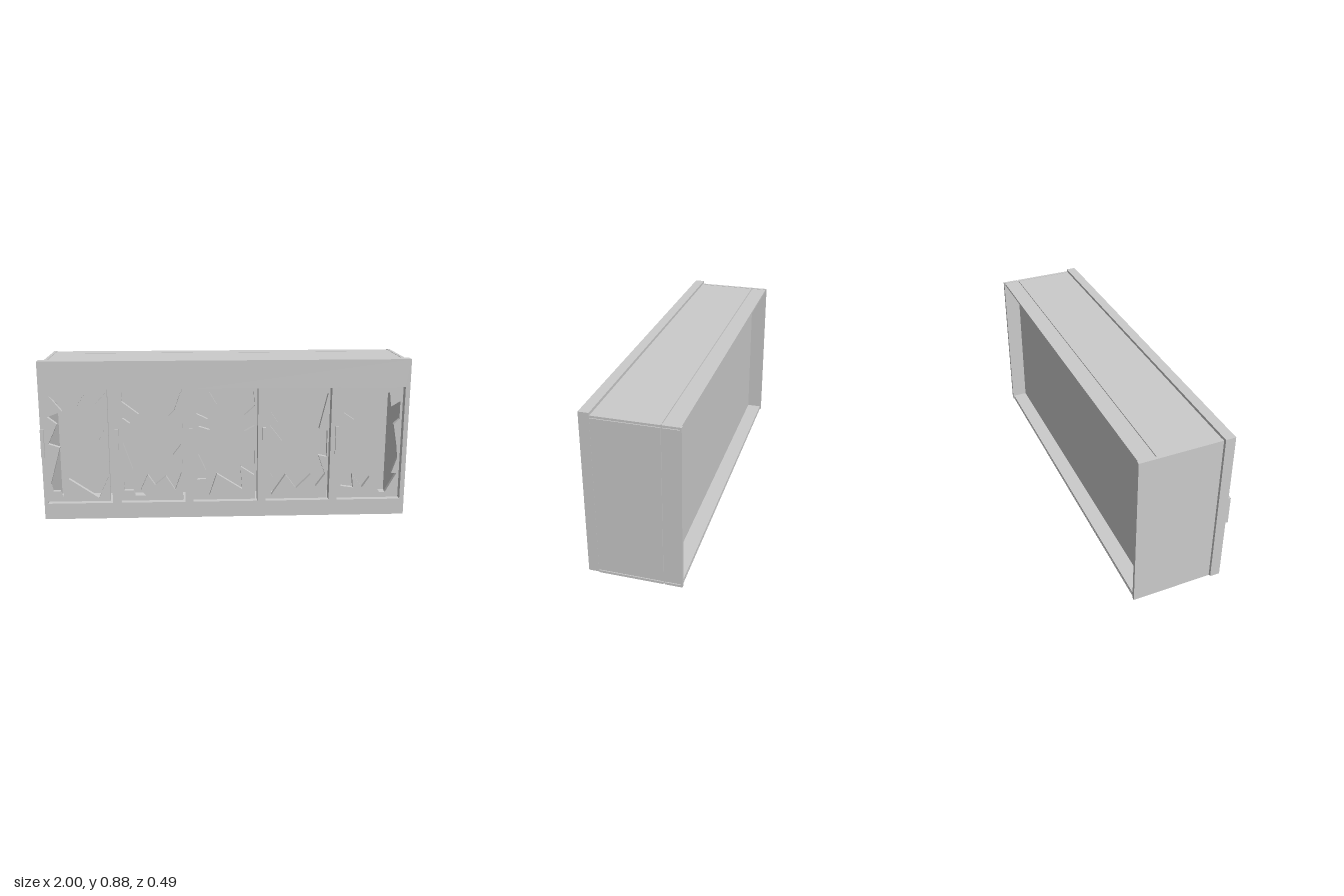
import * as THREE from 'three';

const material = new THREE.MeshStandardMaterial({ color: 0xcccccc, flatShading: true });

// Box given by its minimum and maximum corners
function box(parent, name, x0, x1, y0, y1, z0, z1) {
  const mesh = new THREE.Mesh(new THREE.BoxGeometry(x1 - x0, y1 - y0, z1 - z0), material);
  mesh.position.set((x0 + x1) / 2, (y0 + y1) / 2, (z0 + z1) / 2);
  mesh.name = name;
  parent.add(mesh);
}

function rectangle(Type, x0, x1, y0, y1) {
  return new Type([[x0, y0], [x1, y0], [x1, y1], [x0, y1]].map(p => new THREE.Vector2(...p)));
}

function extrude(parent, name, shape, z0, z1) {
  const mesh = new THREE.Mesh(
    new THREE.ExtrudeGeometry(shape, { depth: z1 - z0, bevelEnabled: false }), material);
  mesh.position.z = z0;
  mesh.name = name;
  parent.add(mesh);
}

const DOOR_X = -0.98, PITCH = 0.4, DOOR_Y = 0.095, OPEN_W = 0.355, OPEN_H = 0.637;
const FRONT = 0.235;

// Door pane with a jagged hole; outline in hundredths from the lower left corner
function addDoor(parent, index, outline) {
  const door = new THREE.Group();
  door.name = 'door' + (index + 1);
  const x = DOOR_X + PITCH * index;
  const pane = rectangle(THREE.Shape, x, x + 0.343, DOOR_Y + 0.012, DOOR_Y + OPEN_H);
  pane.holes.push(new THREE.Path(outline.map(([u, v]) =>
    new THREE.Vector2(x + Math.min(u, 33.6) / 100, DOOR_Y + v / 100))));
  extrude(door, 'brokenPane', pane, 0.21, FRONT);
  box(door, 'handle', x - 0.02, x - 0.002, 0.36, 0.517, FRONT - 0.001, 0.248);
  parent.add(door);
}

export function createModel() {
  const model = new THREE.Group();
  model.name = 'cabinet';

  // Front frame with five openings
  const frame = rectangle(THREE.Shape, -1, 1, 0.005, 0.885);
  for (let i = 0; i < 5; i++) {
    const x = DOOR_X + PITCH * i;
    frame.holes.push(rectangle(THREE.Path, x, x + OPEN_W, DOOR_Y, DOOR_Y + OPEN_H));
  }
  extrude(model, 'frontFrame', frame, 0.182, FRONT);

  addDoor(model, 0, [[3, 61], [10, 52], [2, 49], [7, 45], [2, 34], [8, 32], [2, 11], [3, 7],
    [7, 7], [8, 3], [12, 14], [28, 3], [34, 15], [34, 24], [28, 34], [34, 44], [34, 51],
    [28, 56], [34, 62], [22, 61], [15, 50]]);
  addDoor(model, 1, [[2, 62], [10, 62], [21, 56], [34, 62], [30, 52], [27, 49], [34, 47],
    [34, 33], [29, 27], [34, 17], [30, 7], [25, 15], [19, 10], [15, 16], [11, 7], [14, 4],
    [8, 4], [7, 7], [2, 7], [2, 12], [7, 19], [2, 34], [6, 45], [2, 48], [11, 50], [2, 57]]);
  addDoor(model, 2, [[3, 55], [13, 55], [9, 62], [33, 62], [34, 54], [28, 49], [34, 43],
    [28, 40], [34, 29], [34, 15], [26, 20], [27, 7], [13, 16], [9, 4], [7, 13], [2, 13],
    [7, 18], [3, 27], [4, 38], [9, 41], [3, 43], [8, 47], [2, 50]]);
  addDoor(model, 3, [[3, 62], [9, 62], [24, 53], [34, 61], [29, 41], [34, 40], [34, 25],
    [29, 26], [33, 15], [28, 8], [25, 15], [17, 7], [11, 15], [3, 3], [4, 13], [2, 17],
    [2, 33], [9, 34], [2, 43], [6, 45], [2, 51], [6, 55]]);
  addDoor(model, 4, [[9, 61], [15, 56], [27, 61], [28, 53], [33, 56], [33, 46], [30, 43],
    [32, 32], [33, 24], [30, 15], [33, 15], [27, 4], [24, 4], [18, 13], [14, 7], [8, 15],
    [9, 7], [2, 8], [2, 16], [7, 24], [2, 31], [6, 35], [2, 43], [8, 46], [2, 50], [8, 54],
    [2, 61]]);

  // Top and bottom boards, each a core with two outer layers leaving a groove
  box(model, 'topCore', -0.975, 0.99, 0.857, 0.864, -0.24, 0.183);
  box(model, 'bottomCore', -0.975, 0.99, 0.007, 0.021, -0.24, 0.2);
  for (const [z0, z1, ext] of [[-0.15, 0.183, 0.017], [-0.241, -0.158, 0]]) {
    box(model, 'topLayer', -0.975, 0.99, 0.863, 0.87, z0, z1);
    box(model, 'bottomLayer', -0.975, 0.99, 0, 0.008, z0, z1 + ext);
  }

  // Left side board, grooved on its outer face
  box(model, 'leftSideCore', 0.982, 0.994, 0, 0.872, -0.24, 0.183);
  for (const [z0, z1] of [[-0.15, 0.182], [-0.24, -0.158]]) {
    for (const [y0, y1] of [[0, 0.013], [0.022, 0.858], [0.868, 0.872]])
      box(model, 'leftSideLayer', 0.993, 0.999, y0, y1, z0, z1);
  }
  box(model, 'leftSideRearEdge', 0.982, 0.999, 0, 0.872, -0.246, -0.239);

  // Plain right side board
  box(model, 'rightSide', -0.985, -0.968, 0, 0.872, -0.246, 0.183);

  // Back panel set in from the rear edges
  box(model, 'backPanel', -0.975, 0.988, 0.01, 0.862, -0.158, -0.15);
  return model;
}
